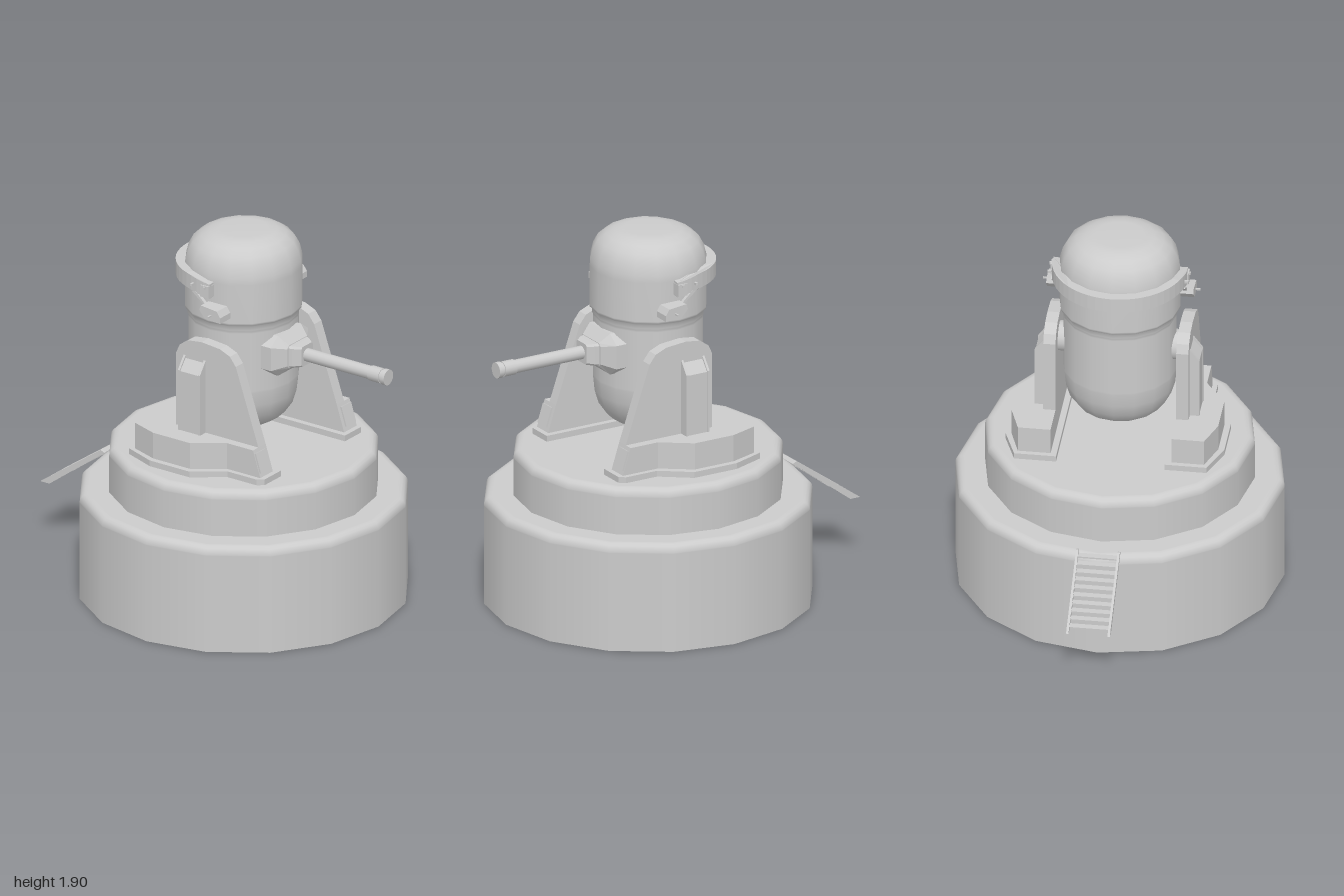
import * as THREE from 'three';

const CZ = 0.137; // z of the turret's vertical axis
const mat = new THREE.MeshStandardMaterial({ color: 0xcccccc });
const openMat = new THREE.MeshStandardMaterial({ color: 0xcccccc, side: THREE.DoubleSide });

export function createModel() {
  const root = new THREE.Group();

  const add = (name, geo, x = 0, y = 0, z = 0, material = mat) => {
    const mesh = new THREE.Mesh(geo, material);
    mesh.name = name;
    mesh.position.set(x, y, z);
    root.add(mesh);
    return mesh;
  };
  const box = (name, w, h, d, x, y, z) => add(name, new THREE.BoxGeometry(w, h, d), x, y, z);
  const lathe = (pts, n) => new THREE.LatheGeometry(pts.map(([r, y]) => new THREE.Vector2(r, y)), n);
  const extrude = (pts, depth) => new THREE.ExtrudeGeometry(
    new THREE.Shape(pts.map(([a, b]) => new THREE.Vector2(a, b))), { depth, bevelEnabled: false });
  // Prism from a (z, y) outline between two x positions
  const sidePrism = (pts, xa, xb) => {
    const w = Math.abs(xb - xa);
    return extrude(pts, w).rotateY(-Math.PI / 2).translate(Math.max(xa, xb), 0, 0);
  };
  // Prism from an (x, z) plan between two heights
  const planPrism = (pts, y0, y1) =>
    extrude(pts.map(([x, z]) => [x, -z]), y1 - y0).rotateX(-Math.PI / 2).translate(0, y0, 0);

  // Round drum with a rolled top edge, open underneath
  const drum = (name, r, y0, y1) => {
    const b = 0.04, pts = [[r, y0], [r, y1 - b - 0.005]];
    for (let i = 0; i <= 4; i++) {
      const a = (i / 4) * Math.PI / 2;
      pts.push([r - b + b * Math.cos(a), y1 - b + b * Math.sin(a)]);
    }
    pts.push([r - b - 0.005, y1], [0, y1]);
    add(name, lathe(pts, 16), 0, 0, CZ, openMat);
  };
  drum('lowerBase', 0.805, 0, 0.55);
  drum('upperBase', 0.66, 0.55, 0.785);

  // Capsule-shaped turret body
  const body = add('turretBody', lathe([
    [0, 0.907], [0.12, 0.907], [0.165, 0.92], [0.21, 0.95], [0.25, 1.005], [0.27, 1.07], [0.277, 1.14],
    [0.277, 1.15], [0.277, 1.455], [0.277, 1.465], [0.282, 1.475], [0.282, 1.495], [0.295, 1.505], [0.295, 1.515],
    [0.295, 1.715], [0.293, 1.75], [0.28, 1.80], [0.255, 1.845], [0.215, 1.875], [0.17, 1.893], [0.12, 1.9], [0, 1.9],
  ], 16), 0, 0, CZ);
  body.scale.z = 0.965;

  // Mantlet: eight-cornered plates of shrinking size joined in a loft
  const GY = 1.325;
  const ring = (w, h, cx, cy, z) => [
    [w, h - cy], [w - cx, h], [cx - w, h], [-w, h - cy], [-w, cy - h], [cx - w, -h], [w - cx, -h], [w, cy - h],
  ].map(([x, y]) => [x, y, z]);
  const loft = (rings) => {
    const pos = [], n = rings[0].length;
    for (let k = 0; k + 1 < rings.length; k++) {
      for (let i = 0; i < n; i++) {
        const j = (i + 1) % n, a = rings[k][i], b = rings[k][j], c = rings[k + 1][j], d = rings[k + 1][i];
        pos.push(...a, ...b, ...c, ...a, ...c, ...d);
      }
    }
    const last = rings[rings.length - 1];
    for (let i = 1; i + 1 < n; i++) pos.push(...last[0], ...last[i], ...last[i + 1]);
    const g = new THREE.BufferGeometry();
    g.setAttribute('position', new THREE.Float32BufferAttribute(pos, 3));
    g.computeVertexNormals();
    return g;
  };
  add('mantlet', loft([
    ring(0.155, 0.105, 0.06, 0.045, 0.34), ring(0.155, 0.105, 0.06, 0.045, 0.41), ring(0.09, 0.06, 0.015, 0.015, 0.462),
  ]), 0, GY, 0);
  add('gunSocket', loft([ring(0.085, 0.058, 0.01, 0.01, 0.45), ring(0.075, 0.056, 0.01, 0.01, 0.48),
    ring(0.048, 0.052, 0.01, 0.01, 0.515)]), 0, GY, 0);

  // Gun barrel and muzzle, turned along z
  const barrel = (name, r, z0, z1) => add(name,
    new THREE.CylinderGeometry(r, r, z1 - z0, 16).rotateX(Math.PI / 2), 0, GY, (z0 + z1) / 2);
  barrel('barrel', 0.033, 0.48, 0.92);
  barrel('muzzle', 0.038, 0.9, 0.965);
  barrel('muzzleNeck', 0.034, 0.96, 0.98);
  barrel('muzzleRim', 0.04, 0.975, 1.0);

  // Half collar around the back of the head, its ends drooping forward
  const a0 = -0.1, collarShape = new THREE.Shape();
  collarShape.absarc(0, 0, 0.33, a0, Math.PI - a0, false);
  collarShape.absarc(0, 0, 0.28, Math.PI - a0, a0, true);
  const collar = new THREE.ExtrudeGeometry(collarShape, { depth: 0.075, bevelEnabled: false, curveSegments: 14 })
    .rotateX(-Math.PI / 2);
  const cp = collar.attributes.position;
  for (let i = 0; i < cp.count; i++) {
    const t = Math.max(0, (cp.getZ(i) + 0.1) / 0.13);
    cp.setY(i, cp.getY(i) - 0.02 * Math.min(t, 1));
  }
  collar.computeVertexNormals();
  add('headCollar', collar, 0, 1.665, CZ);

  for (const s of [1, -1]) {
    const plan = (pts) => pts.map(([x, z]) => [s * x, z]);

    // Mounting slab and the side pod standing on it
    add('mountSlab', planPrism(plan([[0.265, -0.21], [0.47, -0.21], [0.535, -0.04], [0.535, 0.2],
      [0.425, 0.345], [0.425, 0.52], [0.4, 0.55], [0.265, 0.55]]), 0.78, 0.815));
    const pod = planPrism(plan([[0.295, -0.185], [0.455, -0.185], [0.505, -0.04], [0.505, 0.18],
      [0.4, 0.325], [0.4, 0.525], [0.295, 0.525]]), 0.81, 0.95);
    const p = pod.attributes.position;
    for (let i = 0; i < p.count; i++) {
      if (p.getY(i) > 0.9 && p.getZ(i) > 0.5) p.setZ(i, 0.48); // sloped nose
    }
    pod.computeVertexNormals();
    add('sidePod', pod);
    const panel = box('nosePanel', 0.08, 0.1, 0.012, s * 0.355, 0.885, 0.503);
    panel.rotation.x = -0.31;

    // Upright with a rounded head, its inner web and outer rib
    const upright = [[0.48, 0.95], [0.345, 1.34], [0.31, 1.385], [0.25, 1.41], [0.14, 1.42],
      [0.06, 1.41], [0.01, 1.375], [-0.01, 1.33], [-0.01, 0.94], [0.48, 0.94]];
    add('upright', sidePrism(upright, s * 0.295, s * 0.355));
    const rib = extrude([[s * 0.35, 0.94], [s * 0.4, 0.94], [s * 0.4, 1.26], [s * 0.35, 1.32]], 0.13);
    add('uprightRib', rib, 0, 0, 0.035);
    for (const z of [0.04, 0.16]) {
      add('ribEdge', extrude([[s * 0.35, 0.94], [s * 0.403, 0.94], [s * 0.403, 1.265], [s * 0.35, 1.335]], 0.012),
        0, 0, z - 0.006);
    }

    // Trunnion joining the body to the upright
    add('trunnion', new THREE.CylinderGeometry(0.075, 0.075, 0.06, 16).rotateZ(Math.PI / 2), s * 0.275, 1.29, CZ);

    // Sensor pod hung from the collar end
    add('sensorPod', sidePrism([[0.255, 1.575], [0.235, 1.605], [0.14, 1.615], [0.13, 1.59], [0.165, 1.55],
      [0.255, 1.545]], s * 0.275, s * 0.36));
    box('sensorPin', 0.03, 0.008, 0.008, s * 0.37, 1.575, 0.2);
    const strut = sidePrism([[0.15, 1.605], [0.135, 1.605], [0.065, 1.66], [0.085, 1.665]], s * 0.31, s * 0.328);
    add('sensorStrut', strut);
    box('collarEndBlock', 0.045, 0.06, 0.05, s * 0.315, 1.68, 0.145);
    for (const z of [0.145, 0.07]) box('collarBolt', 0.02, 0.012, 0.012, s * 0.335, 1.7, z);

    // Stair rail
    add('stairRail', sidePrism([[-0.618, 0.562], [-0.64, 0.572], [-1.0, 0.318], [-0.945, 0.318]],
      s * 0.095, s * 0.107));
  }

  // Stair treads
  const steps = 10;
  for (let i = 0; i < steps; i++) {
    const t = (i + 0.5) / steps;
    box('stairTread', 0.2, 0.008, 0.034, 0, 0.558 - 0.235 * t, -0.635 - 0.335 * t);
  }

  return root;
}
